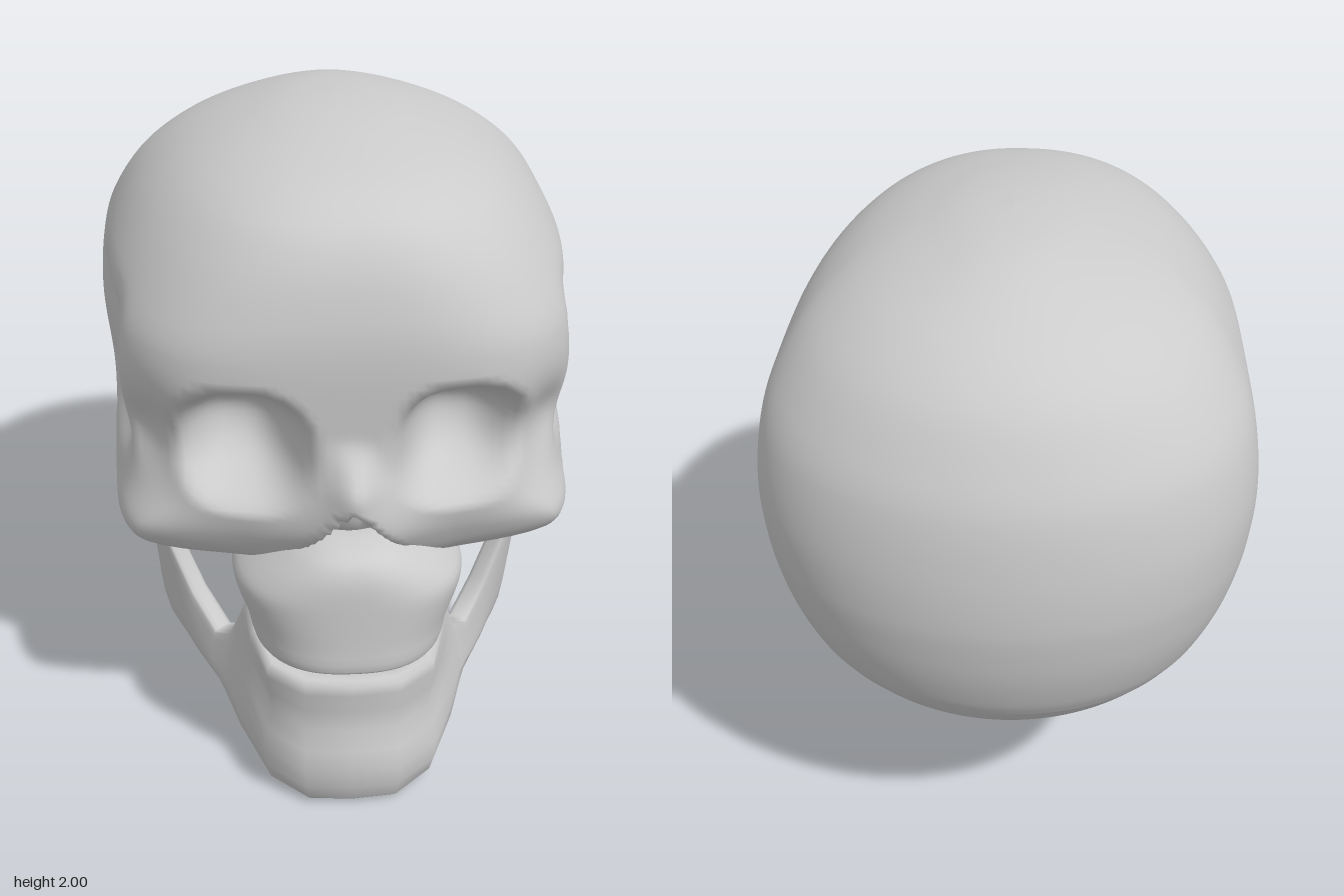
import * as THREE from 'three';

const { smoothstep: S, clamp, lerp } = THREE.MathUtils;
const bell = (d, s) => Math.exp(-(d * d) / (s * s));
const material = new THREE.MeshStandardMaterial({ color: 0xcccccc });

// Skin closed rings of [x, y, z] points, capped at both ends, faces outward
function loft(name, rings) {
  const n = rings[0].length, pos = rings.flat(2), idx = [];
  for (let r = 0; r < rings.length - 1; r++) {
    for (let i = 0; i < n; i++) {
      const a = r * n + i, b = r * n + (i + 1) % n;
      idx.push(a, b, a + n, b, b + n, a + n);
    }
  }
  [0, rings.length - 1].forEach((r, end) => {
    const c = [0, 1, 2].map(k => rings[r].reduce((s, p) => s + p[k], 0) / n);
    const m = pos.length / 3;
    pos.push(...c);
    for (let i = 0; i < n; i++) {
      const a = r * n + i, b = r * n + (i + 1) % n;
      if (end) idx.push(a, b, m); else idx.push(b, a, m);
    }
  });
  // Signed volume tells whether the skin is inside out
  let volume = 0;
  const v = [0, 1, 2].map(() => new THREE.Vector3());
  for (let i = 0; i < idx.length; i += 3) {
    v.forEach((p, k) => p.fromArray(pos, idx[i + k] * 3));
    volume += v[0].dot(v[1].clone().cross(v[2]));
  }
  if (volume < 0) idx.reverse();
  const geometry = new THREE.BufferGeometry();
  geometry.setAttribute('position', new THREE.Float32BufferAttribute(pos, 3));
  geometry.setIndex(idx);
  geometry.computeVertexNormals();
  const mesh = new THREE.Mesh(geometry, material);
  mesh.name = name;
  return mesh;
}

// Horizontal outline: superellipse with its own front and back depth
function planRing(y, front, back, width, mid, nFront, nBack, segments) {
  return Array.from({ length: segments }, (_, i) => {
    const a = i / segments * Math.PI * 2, s = Math.sin(a), c = Math.cos(a);
    const n = c > 0 ? nFront : nBack;
    const r = (Math.abs(s) ** n + Math.abs(c) ** n) ** (-1 / n);
    return [width * s * r, y, mid + c * r * (c > 0 ? front - mid : mid - back)];
  });
}

// Smooth interpolation between table rows, paced by the distance between them
function refine(rows, steps) {
  const last = rows.length - 1, at = [0], out = [];
  for (let i = 1; i <= last; i++) {
    at.push(at[i - 1] + Math.hypot(...[0, 1, 2, 3].map(k => rows[i][k] - rows[i - 1][k])));
  }
  const slope = (i, k) => {
    const p = Math.max(i - 1, 0), q = Math.min(i + 1, last);
    return (rows[q][k] - rows[p][k]) / (at[q] - at[p]);
  };
  for (let i = 0; i < last; i++) {
    const h = at[i + 1] - at[i];
    for (let s = 0; s < steps; s++) {
      const t = s / steps, u = 1 - t;
      out.push(rows[i].map((b, k) => b * u * u * (1 + 2 * t) + rows[i + 1][k] * t * t * (3 - 2 * t)
        + h * t * u * (slope(i, k) * u - slope(i + 1, k) * t)));
    }
  }
  out.push(rows[last]);
  return out;
}

// Carve the face, temples and cheekbones into the cranium
function sculpt([px, y, pz]) {
  const side = Math.sign(px);
  let x = Math.abs(px), z = pz;
  // Lower edge of the cheek arch, rising backwards
  const archY = 0.77 + clamp(0.45 - pz, 0, 0.38) * 0.6;

  // Hollow below the cheek arch
  const hollow = S(pz, -0.2, 0.08) * (1 - S(pz, 0.32, 0.52))
    * (1 - S(y, archY - 0.08, archY + 0.02)) * S(y, 0.5, 0.7);
  x *= 1 - 0.25 * hollow;
  // Temple
  x -= 0.07 * S(x, 0.3, 0.55) * S(pz, -0.3, 0.25) * (1 - S(pz, 0.42, 0.6))
    * S(y, 0.98, 1.15) * (1 - S(y, 1.38, 1.62));
  // Cheekbone and arch
  const cheekX = 0.7 * Math.cbrt(1 - Math.min(1, Math.abs(pz) / 0.84) ** 6);
  x += Math.max(0, cheekX - x) * S(x, 0.3, 0.48) * S(pz, 0, 0.25) * bell(y - archY - 0.11, 0.13);

  if (pz > 0.4) {
    // Outer rim of the eye socket
    z -= 0.1 * S(pz, 0.4, 0.65) * bell(x - 0.58, 0.1) * bell(y - 1.18, 0.13);
    // Eye socket
    const q = (Math.abs((x - 0.315) / 0.215) ** 2.5 + Math.abs((y - 1.195) / 0.215) ** 2.5) ** 0.4;
    z = lerp(z, Math.min(z, 0.57 - 0.3 * (y - 1.2)), 1 - S(Math.min(q, 1) ** 2.2, -0.3, 1));
    // Nasal bone, widening downwards
    const spread = 0.06 + 0.1 * (1 - S(y, 0.88, 1.2));
    z += 0.11 * bell(x, spread) * (1 - S(y, 1.09, 1.25)) * S(y, 0.68, 0.97);
    // Triangular nose opening
    const half = 0.15 * (1.06 - y) / 0.18;
    if (half > 0) z -= 0.12 * (1 - S(x, half * 0.5, half)) * S(half, 0, 0.05);
  }
  return [side * x, y, z];
}

function buildCranium() {
  // height, front z, back z, half width, z of widest point, front squareness
  const rows = [
    [0.45, -0.3, -0.3, 0, -0.3, 2],
    [0.46, -0.2, -0.43, 0.13, -0.31, 2],
    [0.52, -0.09, -0.6, 0.31, -0.33, 2],
    [0.59, 0.03, -0.71, 0.43, -0.34, 2.1],
    [0.66, 0.2, -0.79, 0.52, -0.35, 2.5],
    [0.715, 0.38, -0.832, 0.575, -0.36, 3.1],
    [0.745, 0.62, -0.852, 0.598, -0.365, 3.2],
    [0.8, 0.74, -0.88, 0.635, -0.37, 3.4],
    [0.9, 0.8, -0.915, 0.682, -0.37, 3.5],
    [1.0, 0.83, -0.938, 0.715, -0.37, 3.5],
    [1.13, 0.845, -0.955, 0.742, -0.37, 3.5],
    [1.3, 0.86, -0.95, 0.755, -0.365, 3.6],
    [1.48, 0.87, -0.92, 0.737, -0.33, 3.5],
    [1.6, 0.86, -0.87, 0.7, -0.28, 3.1],
    [1.74, 0.82, -0.785, 0.615, -0.2, 2.7],
    [1.84, 0.75, -0.67, 0.51, -0.12, 2.5],
    [1.91, 0.62, -0.53, 0.39, -0.06, 2.3],
    [1.965, 0.38, -0.37, 0.24, 0, 2.1],
    [1.99, 0.19, -0.22, 0.13, 0, 2],
    [2.0, 0, 0, 0, 0, 2],
  ];
  return loft('cranium', refine(rows, 7).map(([y, f, b, w, m, n]) =>
    planRing(y, f, b, w, m, n, 2, 200).map(sculpt)));
}

function buildUpperJaw() {
  // height, front z, back z, half width; starts inside the arched palate
  const rows = [
    [0.58, 0.78, 0.58, 0.14], [0.53, 0.87, 0.53, 0.23], [0.508, 0.92, 0.5, 0.27],
    [0.525, 0.945, 0.488, 0.293], [0.6, 0.945, 0.485, 0.31], [0.7, 0.945, 0.42, 0.345],
    [0.75, 0.945, 0.38, 0.345], [0.8, 0.943, 0.38, 0.3], [0.84, 0.935, 0.38, 0.25],
    [0.875, 0.915, 0.38, 0.2], [0.9, 0.87, 0.38, 0.15], [0.915, 0.8, 0.38, 0.1],
  ];
  return loft('upperJaw', refine(rows, 3).map(([y, f, b, w]) => planRing(y, f, b, w, 0.6, 2.5, 3.5, 64)));
}

function buildLowerJaw() {
  // From chin to jaw joint: lower edge x y z, upper edge x y z, thickness
  const half = [
    [0, 0, 0.86, 0, 0.455, 0.87, 0.09],
    [0.12, 0.005, 0.855, 0.13, 0.455, 0.855, 0.09],
    [0.21, 0.03, 0.79, 0.22, 0.46, 0.78, 0.09],
    [0.3, 0.095, 0.62, 0.26, 0.475, 0.62, 0.085],
    [0.355, 0.135, 0.49, 0.28, 0.495, 0.495, 0.08],
    [0.38, 0.15, 0.43, 0.33, 0.36, 0.44, 0.075],
    [0.41, 0.165, 0.38, 0.385, 0.325, 0.39, 0.07],
    [0.455, 0.19, 0.31, 0.46, 0.43, 0.315, 0.068],
    [0.48, 0.205, 0.27, 0.54, 0.63, 0.28, 0.065],
    [0.505, 0.22, 0.23, 0.595, 0.88, 0.245, 0.062],
    [0.53, 0.235, 0.18, 0.605, 0.84, 0.19, 0.062],
    [0.555, 0.26, 0.1, 0.61, 0.845, 0.06, 0.062],
    [0.56, 0.28, 0.035, 0.615, 0.885, -0.03, 0.058],
  ];
  const mirrored = half.slice(1).reverse().map(([a, b, c, d, ...e]) => [-a, b, c, -d, ...e]);
  const stations = [...mirrored, ...half];
  // Wall section: share of height, share of half thickness
  const wall = [[0, 0.5], [0.04, 0.9], [0.15, 1], [0.3, 1], [0.45, 1], [0.6, 1], [0.75, 1], [0.9, 1], [0.97, 0.9], [1, 0.5]];
  const section = [...wall, ...wall.slice().reverse().map(([v, t]) => [v, -t])];
  return loft('lowerJaw', stations.map((s, i) => {
    const p = stations[Math.max(i - 1, 0)], q = stations[Math.min(i + 1, stations.length - 1)];
    const dx = q[0] + q[3] - p[0] - p[3], dz = q[2] + q[5] - p[2] - p[5], len = Math.hypot(dx, dz);
    const chin = S(s[2], 0.5, 0.85);
    // The rear edge of the upright branch is slightly waisted
    const rear = 1 - S(s[2], 0.03, 0.15);
    return section.map(([v, t]) => {
      const y = s[1] + (s[4] - s[1]) * v;
      const out = t * s[6] / 2 + chin * (0.02 * bell(y - 0.14, 0.08) - 0.018 * bell(y - 0.31, 0.08));
      const waist = rear * (0.035 * bell(y - 0.63, 0.15) - 0.01 * bell(y - 0.4, 0.08));
      return [s[0] + (s[3] - s[0]) * v - dz / len * out, y, s[2] + (s[5] - s[2]) * v + dx / len * out + waist];
    });
  }));
}

export function createModel() {
  const skull = new THREE.Group();
  skull.name = 'skull';
  skull.add(buildCranium(), buildUpperJaw(), buildLowerJaw());
  return skull;
}
